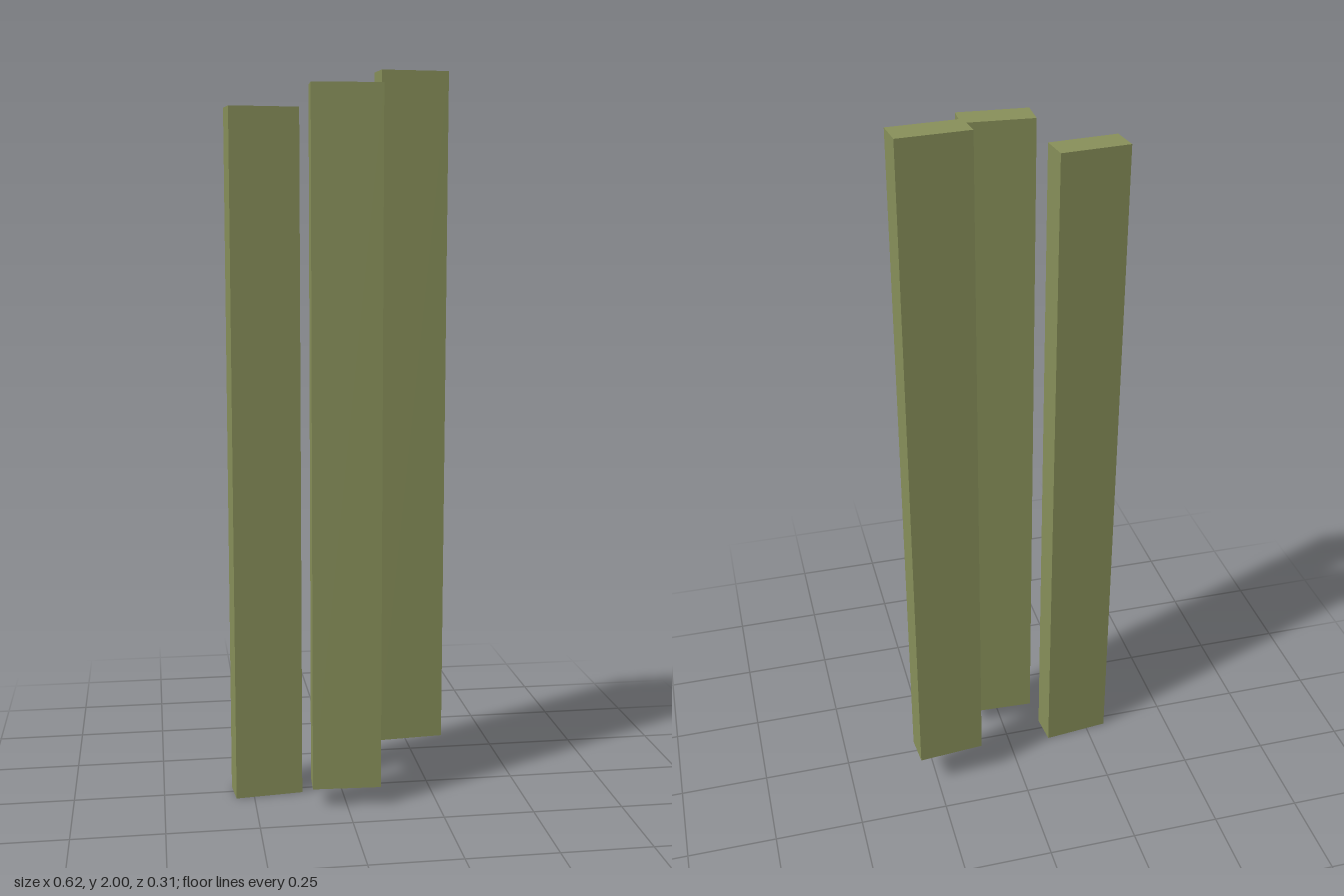
import * as THREE from 'three';

export function createModel() {
  const model = new THREE.Group();
  model.name = 'plankSet';
  const olive = new THREE.MeshStandardMaterial({ color: 0x88905a });
  olive.name = 'olive';

  // Three equal upright planks, each staggered and slightly turned
  const height = 1.893;
  const geometry = new THREE.BoxGeometry(0.188, height, 0.083);
  const planks = [
    { name: 'rightPlank', x: -0.211, base: 0, z: 0, turn: 0.1 },
    { name: 'middlePlank', x: 0, base: 0.054, z: 0.106, turn: -0.05 },
    { name: 'leftPlank', x: 0.211, base: 0.107, z: -0.106, turn: 0.08 },
  ];
  for (const { name, x, base, z, turn } of planks) {
    const plank = new THREE.Mesh(geometry, olive);
    plank.name = name;
    plank.position.set(x, base + height / 2, z);
    plank.rotation.y = turn;
    model.add(plank);
  }
  return model;
}
